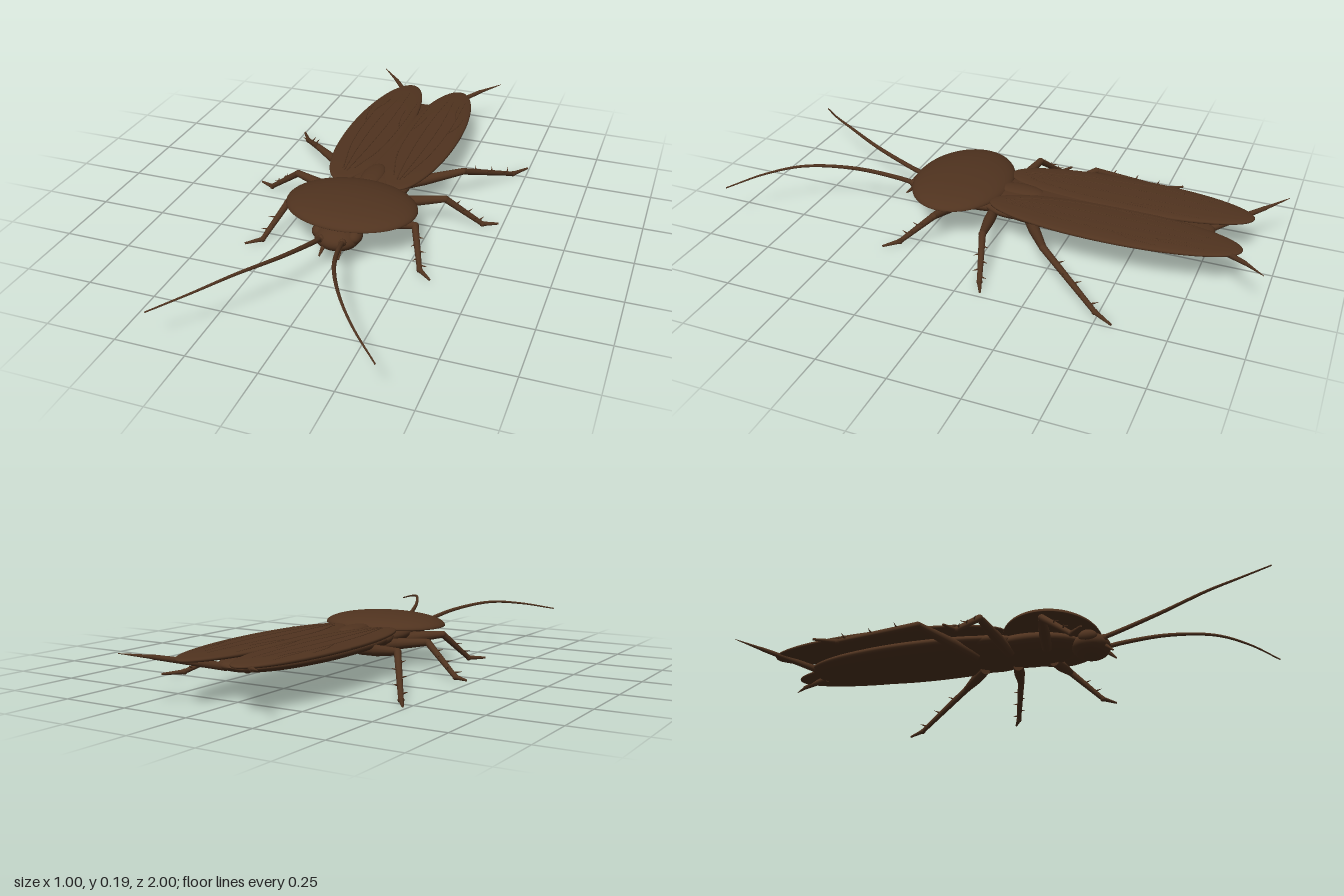
import * as THREE from 'three';

const material = (name, color) => {
  const m = new THREE.MeshStandardMaterial({ color });
  m.name = name;
  return m;
};
const V = (x, y, z) => new THREE.Vector3(x, y, z);

export function createModel() {
  const root = new THREE.Group();
  root.name = 'cockroach';
  const brown = material('shell brown', 0x50331f);

  const add = (name, geo, parent = root) => {
    const mesh = new THREE.Mesh(geo, brown);
    mesh.name = name;
    parent.add(mesh);
    return mesh;
  };
  const group = (name) => {
    const g = new THREE.Group();
    g.name = name;
    root.add(g);
    return g;
  };
  // Ellipsoid; "rule" may reshape the unit height first
  const ellipsoid = (name, c, r, parent = root, seg = 40, rule = null) => {
    const geo = new THREE.SphereGeometry(1, seg, Math.round(seg * 0.6));
    const p = geo.attributes.position;
    if (rule) for (let i = 0; i < p.count; i++) p.setY(i, rule(p.getY(i)));
    geo.scale(...r).translate(...c);
    if (rule) geo.computeVertexNormals();
    return add(name, geo, parent);
  };
  // Tapered round bar from a to b
  const bar = (name, a, b, ra, rb, parent, seg = 12) => {
    const geo = new THREE.CylinderGeometry(rb, ra, a.distanceTo(b), seg);
    const dir = b.clone().sub(a).normalize();
    geo.applyQuaternion(new THREE.Quaternion().setFromUnitVectors(V(0, 1, 0), dir));
    geo.translate(...a.clone().add(b).multiplyScalar(0.5).toArray());
    return add(name, geo, parent);
  };
  // Tube whose radius shrinks along its path
  const taperedTube = (name, pts, ra, rb, n, parent) => {
    const curve = new THREE.CatmullRomCurve3(pts);
    const sides = 8;
    const geo = new THREE.TubeGeometry(curve, n, 1, sides);
    const p = geo.attributes.position;
    for (let i = 0; i <= n; i++) {
      const c = curve.getPointAt(i / n);
      const r = ra + (rb - ra) * (i / n);
      for (let j = 0; j <= sides; j++) {
        const k = i * (sides + 1) + j;
        const v = V().fromBufferAttribute(p, k).sub(c).multiplyScalar(r).add(c);
        p.setXYZ(k, v.x, v.y, v.z);
      }
    }
    return add(name, geo, parent);
  };

  // Domed shield with a shallow underside, thorax and the plate between the wing roots
  ellipsoid('pronotum', [0, 0.143, 0.18], [0.245, 0.047, 0.185], root, 64, (y) => (y > 0 ? y : y * 0.3));
  ellipsoid('thorax', [0, 0.112, 0.1], [0.125, 0.042, 0.2]);
  ellipsoid('hindThorax', [0, 0.115, -0.05], [0.145, 0.04, 0.15]);
  ellipsoid('scutellum', [0, 0.15, -0.05], [0.04, 0.014, 0.09]);

  // Abdomen: flattened lathe along z
  const profile = [[0, -0.785], [0.065, -0.765], [0.115, -0.68], [0.155, -0.5], [0.167, -0.3],
    [0.15, -0.08], [0.1, 0.07], [0, 0.12]].map(([r, z]) => V(r, z, 0));
  const smooth = new THREE.CatmullRomCurve3(profile).getPoints(36)
    .map((p) => new THREE.Vector2(Math.max(p.x, 0), p.y));
  const abdomen = new THREE.LatheGeometry(smooth, 40);
  abdomen.rotateX(Math.PI / 2).scale(1, 0.23, 1).translate(0, 0.117, 0);
  add('abdomen', abdomen);

  // Head
  ellipsoid('head', [0, 0.097, 0.325], [0.083, 0.044, 0.073]);

  // Wing: ellipse in plan with a flattened top
  const wing = { x: 0.11, y: 0.147, z: -0.437, rx: 0.12, ry: 0.016, rz: 0.465 };
  const flatten = (y) => Math.sign(y) * Math.abs(y) ** 0.7;
  const wingTop = (x, z) => {
    const d = 1 - ((x - wing.x) / wing.rx) ** 2 - ((z - wing.z) / wing.rz) ** 2;
    return wing.y + wing.ry * flatten(Math.sqrt(Math.max(d, 0)));
  };
  // Long veins and their short forks, as x,z paths
  const veins = [
    [[0.08, -0.06], [0.04, -0.22], [0.025, -0.45], [0.03, -0.72]],
    [[0.1, -0.03], [0.085, -0.25], [0.08, -0.5], [0.09, -0.79]],
    [[0.11, -0.03], [0.125, -0.25], [0.13, -0.5], [0.115, -0.77]],
    [[0.12, -0.05], [0.16, -0.25], [0.175, -0.5], [0.165, -0.78]],
    [[0.03, -0.45], [0.045, -0.52], [0.055, -0.62]],
    [[0.175, -0.46], [0.195, -0.53], [0.2, -0.62]],
    [[0.172, -0.6], [0.155, -0.66], [0.15, -0.74]],
  ];

  // Leg joints: hip, knee, ankle, toe
  const legs = {
    frontLeg: [[0.06, 0.085, 0.17], [0.245, 0.115, 0.195], [0.3, 0.012, 0.31], [0.35, 0.01, 0.355]],
    middleLeg: [[0.06, 0.082, 0.03], [0.295, 0.118, -0.02], [0.43, 0.012, -0.065], [0.485, 0.01, -0.09]],
    hindLeg: [[0.06, 0.082, -0.1], [0.3, 0.118, -0.25], [0.45, 0.012, -0.49], [0.495, 0.01, -0.56]],
  };

  for (const [side, s] of [['left', 1], ['right', -1]]) {
    const P = ([x, y, z]) => V(s * x, y, z);

    // Wing with raised veins; the right one lies a little higher
    const wings = group(side + 'Wing');
    wings.position.y = s > 0 ? 0 : 0.002;
    ellipsoid('wingCover', [s * wing.x, wing.y, wing.z], [wing.rx, wing.ry, wing.rz], wings, 56, flatten);
    for (const path of veins) {
      const flat = new THREE.CatmullRomCurve3(path.map(([x, z]) => V(x, 0, z))).getPoints(14);
      const pts = flat.map((p) => V(s * p.x, wingTop(p.x, p.z), p.z));
      taperedTube('wingVein', pts, 0.0024, 0.001, 24, wings);
    }

    // Legs with spines along the shin
    for (const [name, joints] of Object.entries(legs)) {
      const leg = group(side + name[0].toUpperCase() + name.slice(1));
      const [hip, knee, ankle, toe] = joints.map(P);
      const mid = hip.clone().lerp(knee, 0.45);
      bar('hip', hip, mid, 0.019, 0.021, leg);
      bar('thigh', mid, knee, 0.021, 0.013, leg);
      ellipsoid('knee', knee.toArray(), [0.014, 0.013, 0.014], leg, 14);
      bar('shin', knee, ankle, 0.013, 0.009, leg);
      ellipsoid('ankle', ankle.toArray(), [0.011, 0.011, 0.011], leg, 12);
      bar('foot', ankle, toe, 0.009, 0.004, leg);
      const along = ankle.clone().sub(knee).normalize();
      const up = V(0, 1, 0).addScaledVector(along, -along.y).normalize();
      const across = along.clone().cross(up);
      for (let i = 0; i < 5; i++) {
        const base = knee.clone().lerp(ankle, 0.25 + i * 0.16);
        const out = up.clone().multiplyScalar(0.6).addScaledVector(across, i % 2 ? 0.8 : -0.8)
          .addScaledVector(along, 0.5).normalize();
        bar('spine', base, base.clone().addScaledVector(out, 0.034), 0.005, 0.0005, leg, 6);
      }
    }

    // Antenna
    const antenna = group(side + 'Antenna');
    ellipsoid('antennaSocket', [s * 0.04, 0.11, 0.38], [0.014, 0.014, 0.014], antenna, 14);
    taperedTube('antennaWhip', [[0.04, 0.11, 0.375], [0.05, 0.125, 0.44], [0.095, 0.156, 0.6],
      [0.18, 0.174, 0.77], [0.27, 0.161, 0.89], [0.378, 0.134, 0.997]].map(P), 0.0095, 0.0025, 60, antenna);

    // Eye and mouth feeler
    ellipsoid(side + 'Eye', [s * 0.067, 0.11, 0.325], [0.026, 0.025, 0.036], root, 20);
    bar(side + 'Palp', P([0.03, 0.085, 0.38]), P([0.036, 0.058, 0.412]), 0.009, 0.003, root);

    // Tail feeler: thick base, thin tip
    const cercus = group(side + 'Cercus');
    const [a, b, c] = [[0.04, 0.112, -0.75], [0.195, 0.156, -0.925], [0.27, 0.171, -0.997]].map(P);
    bar('cercusBase', a, b, 0.014, 0.008, cercus);
    bar('cercusTip', b, c, 0.007, 0.001, cercus);
  }
  return root;
}
